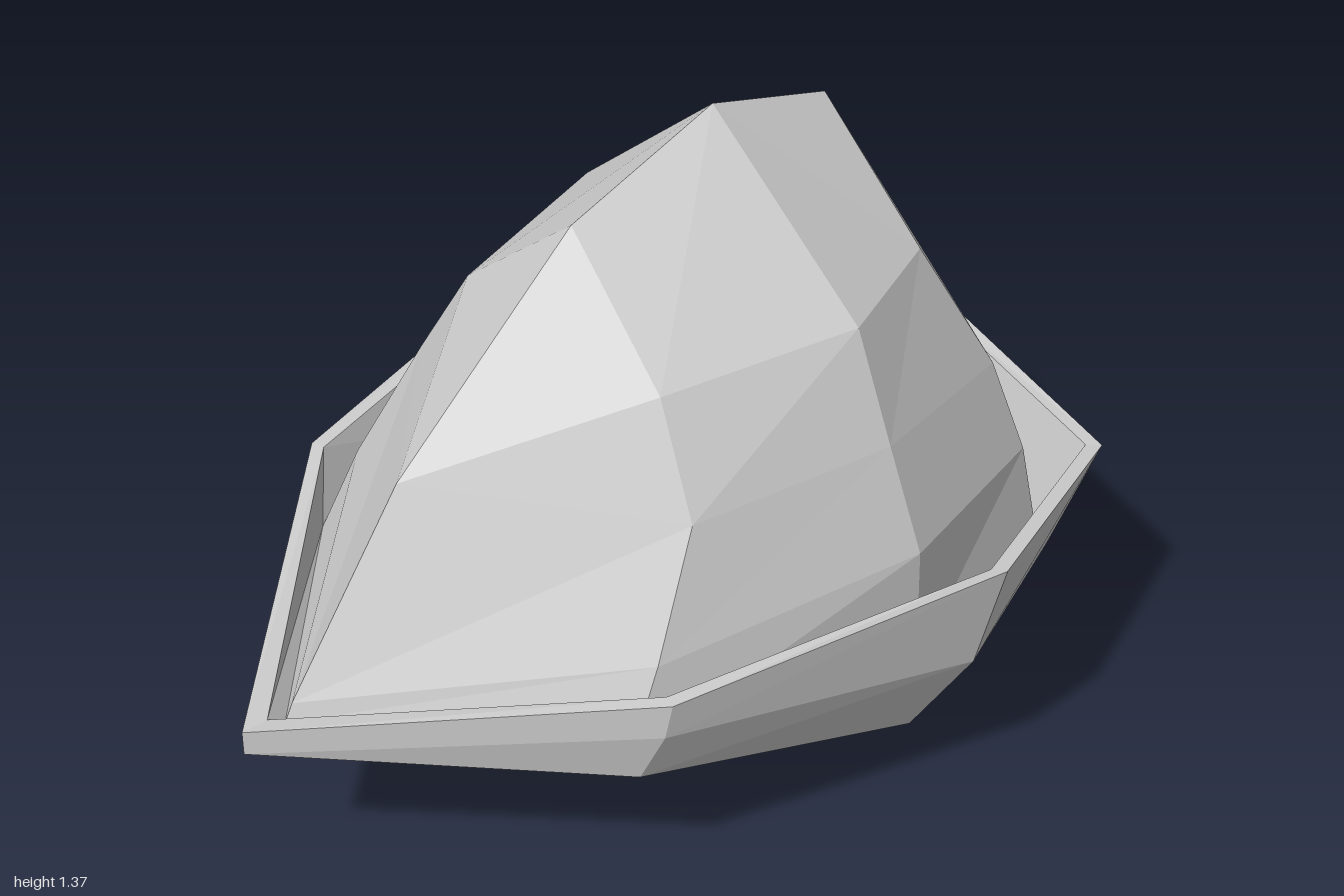
import * as THREE from 'three';

// Each half ring runs front, front corner, side, back corner, back (on the +x side).
function fullRing(half) {
  const mirrored = half.slice(1, -1).reverse().map(([x, y, z]) => [-x, y, z]);
  return [...half, ...mirrored];
}

// A ring collapsed to one point closes the surface.
const point = (x, y, z) => Array(5).fill([x, y, z]);

// Skins a list of half rings with faceted quads.
function loft(name, halves, material) {
  const rings = halves.map(fullRing);
  const pos = [];
  const tri = (a, b, c) => {
    const same = (p, q) => p.every((v, i) => v === q[i]);
    if (!same(a, b) && !same(b, c) && !same(a, c)) pos.push(...a, ...b, ...c);
  };
  for (let i = 0; i < rings.length - 1; i++) {
    for (let j = 0; j < 8; j++) {
      const k = (j + 1) % 8;
      const a = rings[i][j], b = rings[i][k], c = rings[i + 1][k], d = rings[i + 1][j];
      // Mirror the diagonal so both halves match
      if (j < 4) { tri(a, b, c); tri(a, c, d); }
      else { tri(a, b, d); tri(b, c, d); }
    }
  }
  const geo = new THREE.BufferGeometry();
  geo.setAttribute('position', new THREE.Float32BufferAttribute(pos, 3));
  geo.computeVertexNormals();
  const mesh = new THREE.Mesh(geo, material);
  mesh.name = name;
  return mesh;
}

export function createModel() {
  const group = new THREE.Group();
  group.name = 'hat';
  const material = new THREE.MeshStandardMaterial({ color: 0xcccccc, flatShading: true });

  // Crown rings, from the gutter inside the brim up to the peak
  const gutter = [[0, 0.38, 0.9], [0.51, 0.36, 0.44], [0.62, 0.3, -0.25], [0.5, 0.27, -0.76], [0, 0.25, -0.88]];
  const base = [[0, 0.42, 0.88], [0.49, 0.53, 0.35], [0.61, 0.58, -0.25], [0.46, 0.55, -0.72], [0, 0.55, -0.83]];
  const middle = [[0, 0.82, 0.6], [0.43, 0.77, 0.21], [0.52, 0.8, -0.24], [0.39, 0.75, -0.68], [0, 0.77, -0.77]];
  const upper = [[0, 1.23, 0.15], [0.3, 0.99, 0.18], [0.415, 1.03, -0.24], [0.29, 1.04, -0.54], [0, 1.29, -0.535]];

  // Brim rings
  const bottom = [[0, 0.355, 1], [0.53, 0.32, 0.43], [0.64, 0.17, -0.22], [0.42, 0.05, -0.69], [0, 0.01, -0.84]];
  const bulge = [[0, 0.38, 1], [0.58, 0.44, 0.41], [0.74, 0.36, -0.29], [0.51, 0.3, -0.77], [0, 0.3, -0.94]];
  const rim = [[0, 0.41, 1], [0.59, 0.52, 0.4], [0.775, 0.59, -0.33], [0.565, 0.55, -0.855], [0, 0.565, -1]];
  const rimInner = [[0, 0.41, 0.94], [0.56, 0.52, 0.39], [0.74, 0.58, -0.32], [0.54, 0.55, -0.83], [0, 0.56, -0.97]];

  // Head opening: upright walls that taper to nothing at the tip, under a shallow ceiling
  const opening = [[0, 0.35, 0.9], [0.48, 0.325, 0.39], [0.53, 0.17, -0.2], [0.36, 0.035, -0.57], [0, 0, -0.7]];
  const wallTop = [[0, 0.37, 0.86], [0.45, 0.49, 0.33], [0.47, 0.42, -0.2], [0.32, 0.255, -0.6], [0, 0.2, -0.75]];

  group.add(
    loft('crown', [gutter, base, middle, upper, point(0, 1.37, -0.22)], material),
    loft('brim', [opening, bottom, bulge, rim, rimInner, gutter], material),
    loft('lining', [point(0, 0.68, -0.2), wallTop, opening], material),
  );
  return group;
}
